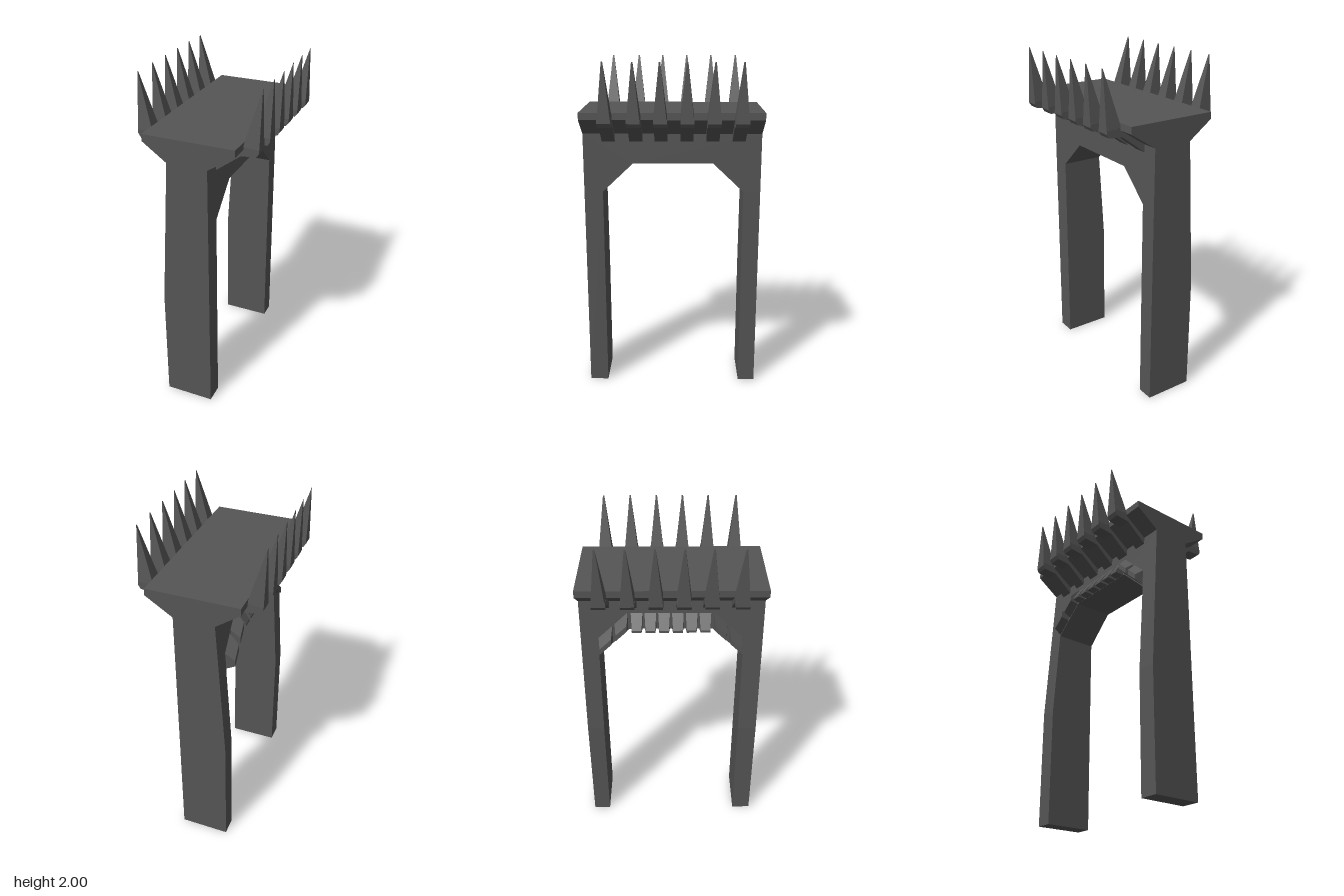
import * as THREE from 'three';
import { ConvexGeometry } from 'three/addons/geometries/ConvexGeometry.js';

const DEPTH = 0.52;      // half length of the gate along z
const RIGHT = 0.11;      // flat face of the legs
const SPRING = 1.235;    // height where the arch starts
const NECK = 1.58;       // height where the deck flares out

// tapered face of the legs: straight to y = 0.7, then leaning inward
const leanX = (y) => -0.18 + Math.max(0, y - 0.7) * 0.0625;

// underside of the arch at a given z
const archY = (z) => {
  const d = z > 0 ? (z - 0.23) / 0.18 : (-z - 0.24) / 0.18;
  return 1.405 - 0.17 * THREE.MathUtils.clamp(d, 0, 1);
};

const toShape = (pts) => new THREE.Shape(pts.map(([x, y]) => new THREE.Vector2(x, y)));

// extrude an x-y profile between two z positions
function slab(pts, z0, z1) {
  const g = new THREE.ExtrudeGeometry(toShape(pts), { depth: z1 - z0, bevelEnabled: false });
  return g.translate(0, 0, z0);
}

const hull = (pts) => new ConvexGeometry(pts.map((p) => new THREE.Vector3(...p)));

export function createModel() {
  const group = new THREE.Group();
  const stone = new THREE.MeshStandardMaterial({ color: 0x555555 });
  stone.name = 'dark grey stone';

  const add = (name, geometry, parent = group) => {
    const mesh = new THREE.Mesh(geometry, stone);
    mesh.name = name;
    parent.add(mesh);
    return mesh;
  };
  const addGroup = (name) => {
    const g = new THREE.Group();
    g.name = name;
    group.add(g);
    return g;
  };

  // legs
  const legProfile = [[-0.18, 0], [RIGHT, 0], [RIGHT, SPRING], [leanX(SPRING), SPRING], [-0.18, 0.7]];
  add('frontLeg', slab(legProfile, 0.41, DEPTH));
  add('backLeg', slab(legProfile, -DEPTH, -0.42));

  // arch between the legs: a side profile stretched across the leaning width
  const arch = new THREE.ExtrudeGeometry(toShape([
    [-DEPTH, SPRING], [-0.41, SPRING], [-0.23, 1.405], [0.24, 1.405],
    [0.42, SPRING], [DEPTH, SPRING], [DEPTH, NECK], [-DEPTH, NECK],
  ]), { depth: 1, bevelEnabled: false });
  const pos = arch.attributes.position;
  for (let i = 0; i < pos.count; i++) {
    const a = pos.getX(i), y = pos.getY(i);
    pos.setXYZ(i, pos.getZ(i) > 0.5 ? RIGHT : leanX(y), y, -a);
  }
  arch.computeVertexNormals();
  add('arch', arch);

  // flared deck
  add('deck', slab([
    [leanX(NECK), NECK], [RIGHT, NECK], [0.265, 1.68], [0.265, 1.72],
    [-0.265, 1.72], [-0.265, 1.68],
  ], -DEPTH, DEPTH));

  // brackets and spikes along both sides of the deck
  for (const side of [1, -1]) {
    const row = addGroup(side > 0 ? 'leftSpikes' : 'rightSpikes');
    const root = side > 0 ? RIGHT : 0.125;
    for (const z of [0.371, 0.211, 0.064, -0.085, -0.235, -0.387]) {
      const w = 0.038;
      const profile = [
        [root, 1.535], [0.25, 1.64], [0.335, 1.648], [0.349, 1.67],
        [0.349, 1.69], [0.26, 1.69], [root, NECK],
      ].map(([x, y]) => [x * side, y]);
      add('bracket', slab(profile, z - w, z + w), row);
      const spike = [];
      for (const s of [1, -1]) {
        spike.push([0.262 * side, 1.685, z + s * w], [0.349 * side, 1.67, z + s * w],
          [0.262 * side, 1.7, z + s * w], [0.349 * side, 2, z + s * 0.004]);
      }
      add('spike', hull(spike), row);
    }
  }

  // wedge-shaped teeth following the edge of the arch
  const teeth = addGroup('archTeeth');
  const tooth = (z0, z1, rise, tipLow, tipHigh) => {
    const mid = (z0 + z1) / 2;
    const pts = [];
    for (const z of [z0, z1]) {
      const y = archY(z), tipZ = mid + (z - mid) * 0.8, tipY = archY(tipZ);
      pts.push([leanX(y) + 0.02, y, z], [leanX(y + rise) + 0.01, y + rise, z],
        [leanX(tipY + tipLow) - 0.052, tipY + tipLow, tipZ],
        [leanX(tipY + tipHigh) - 0.052, tipY + tipHigh, tipZ]);
    }
    add('tooth', hull(pts), teeth);
  };
  for (const [a, b] of [[0.41, 0.325], [0.315, 0.235], [-0.335, -0.42], [-0.245, -0.325]]) {
    tooth(a, b, 0.12, 0.025, 0.06);
  }
  for (let i = 0; i < 6; i++) {
    const z = -0.005 + (i - 2.5) * 0.077;
    tooth(z + 0.034, z - 0.034, 0.115, 0.005, 0.018);
  }

  return group;
}
